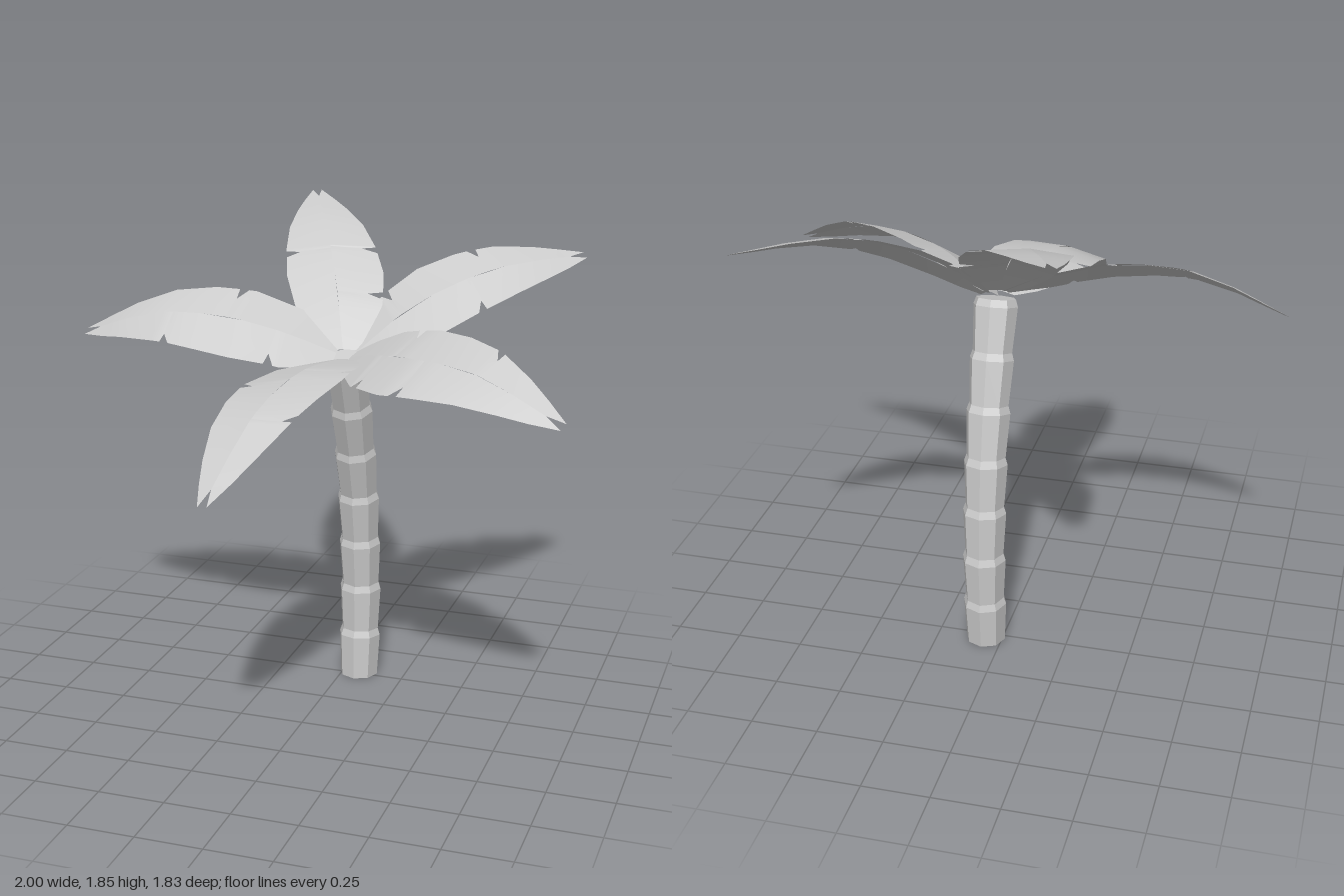
import * as THREE from 'three';

const V = (a) => new THREE.Vector3(...a);
const grey = (opts) => new THREE.MeshStandardMaterial({ color: 0xcccccc, ...opts });

// Trunk: eight-sided lathe with flared segments, bent along a leaning spine
function makeTrunk() {
  const spine = new THREE.CatmullRomCurve3([
    [0.065, 0, -0.27], [0.065, 0.38, -0.283], [0.065, 0.78, -0.245],
    [0.065, 1.0, -0.193], [0.065, 1.36, -0.083],
  ].map(V));
  const segments = 7;
  const profile = [new THREE.Vector2(0, 0), new THREE.Vector2(0.076, 0)];
  for (let i = 0; i < segments; i++) {
    profile.push(new THREE.Vector2(0.084, (i + 0.86) / segments));
    profile.push(new THREE.Vector2(0.075, (i + 1) / segments));
  }
  profile.push(new THREE.Vector2(0, 1));
  const geo = new THREE.LatheGeometry(profile, 8);
  const pos = geo.attributes.position;
  const right = new THREE.Vector3(1, 0, 0);
  for (let i = 0; i < pos.count; i++) {
    const u = Math.min(1, Math.max(0, pos.getY(i)));
    const tangent = u === 0 ? new THREE.Vector3(0, 1, 0) : spine.getTangentAt(u);
    const forward = right.clone().cross(tangent);
    const p = spine.getPointAt(u)
      .addScaledVector(right, pos.getX(i))
      .addScaledVector(forward, pos.getZ(i));
    pos.setXYZ(i, p.x, p.y, p.z);
  }
  geo.computeVertexNormals();
  const trunk = new THREE.Mesh(geo, grey({ flatShading: true }));
  trunk.name = 'trunk';
  return trunk;
}

// Half-width of a frond along its length: [fraction, width]
const OUTLINE = [
  [0, 0.05], [0.07, 0.11], [0.17, 0.163], [0.35, 0.188], [0.5, 0.175],
  [0.65, 0.147], [0.8, 0.1], [0.9, 0.062], [1, 0.018],
];

function widthAt(u) {
  const i = Math.max(1, OUTLINE.findIndex(([x]) => x >= u));
  const [u0, w0] = OUTLINE[i - 1], [u1, w1] = OUTLINE[i];
  return THREE.MathUtils.lerp(w0, w1, (u - u0) / (u1 - u0));
}

// Frond: two strips from the midrib to the outer edges, with torn notches
// and a split tip. "side" is the direction of the first edge.
function makeFrond({ rib, side, notches }) {
  const curve = new THREE.CatmullRomCurve3(rib.map(V));
  const across = V(side).normalize();
  const up = curve.getTangentAt(0.4).cross(across).normalize();
  const flip = up.y < 0;
  if (flip) up.negate();
  const verts = [], index = [];
  [1, -1].forEach((sign, k) => {
    const cuts = notches[k];
    const stations = OUTLINE
      .filter(([u]) => !cuts.some((c) => u > c - 0.005 && u < c + 0.04))
      .map(([u, w]) => [u, w]);
    for (const c of cuts) {
      stations.push([c, widthAt(c)], [c + 0.03, widthAt(c) * 0.68], [c + 0.034, widthAt(c + 0.034)]);
    }
    stations.sort((a, b) => a[0] - b[0]);
    const start = verts.length / 3;
    stations.forEach(([u, w], i) => {
      // the rib stops short of the edges, splitting the tip
      const ribU = Math.min(u, 0.93);
      const r = curve.getPointAt(ribU).addScaledVector(up, 0.1 * widthAt(ribU));
      const e = curve.getPointAt(u).addScaledVector(across, sign * w);
      verts.push(...r.toArray(), ...e.toArray());
      if (i === 0) return;
      const a = start + 2 * (i - 1), b = a + 1, c = a + 2, d = a + 3;
      if ((sign > 0) !== flip) index.push(a, c, b, b, c, d);
      else index.push(a, b, c, b, d, c);
    });
  });
  const geo = new THREE.BufferGeometry();
  geo.setAttribute('position', new THREE.Float32BufferAttribute(verts, 3));
  geo.setIndex(index);
  geo.computeVertexNormals();
  return new THREE.Mesh(geo, grey({ side: THREE.DoubleSide }));
}

// Midrib path, edge direction and notch positions of each frond
const FRONDS = {
  frontFrond: {
    rib: [[0.055, 1.365, -0.04], [0, 1.37, 0.28], [-0.05, 1.3, 0.58], [-0.115, 1.08, 0.92]],
    side: [0.98, 0.13, 0.05], notches: [[0.23, 0.6], [0.35]],
  },
  rightFrond: {
    rib: [[0.03, 1.38, -0.07], [-0.33, 1.48, -0.02], [-0.66, 1.49, -0.015], [-1, 1.39, -0.065]],
    side: [0, 0.48, -0.88], notches: [[0.38], [0.19, 0.58]],
  },
  backFrond: {
    rib: [[0.05, 1.39, -0.09], [-0.045, 1.59, -0.3], [-0.16, 1.74, -0.54], [-0.33, 1.85, -0.91]],
    side: [0.97, 0.05, -0.2], notches: [[0.22, 0.46], [0.45]],
  },
  frontLeftFrond: {
    rib: [[0.09, 1.37, -0.07], [0.37, 1.43, 0.15], [0.66, 1.43, 0.29], [0.99, 1.32, 0.415]],
    side: [0.4, 0.47, -0.78], notches: [[0.25, 0.63], [0.18, 0.4]],
  },
  backLeftFrond: {
    rib: [[0.1, 1.38, -0.1], [0.31, 1.55, -0.24], [0.56, 1.66, -0.42], [0.84, 1.69, -0.69]],
    side: [-0.55, 0.42, -0.72], notches: [[0.18, 0.55], [0.47]],
  },
};

export function createModel() {
  const tree = new THREE.Group();
  tree.name = 'palmTree';
  tree.add(makeTrunk());
  const crown = new THREE.Group();
  crown.name = 'crown';
  for (const [name, spec] of Object.entries(FRONDS)) {
    const frond = makeFrond(spec);
    frond.name = name;
    crown.add(frond);
  }
  tree.add(crown);
  return tree;
}
